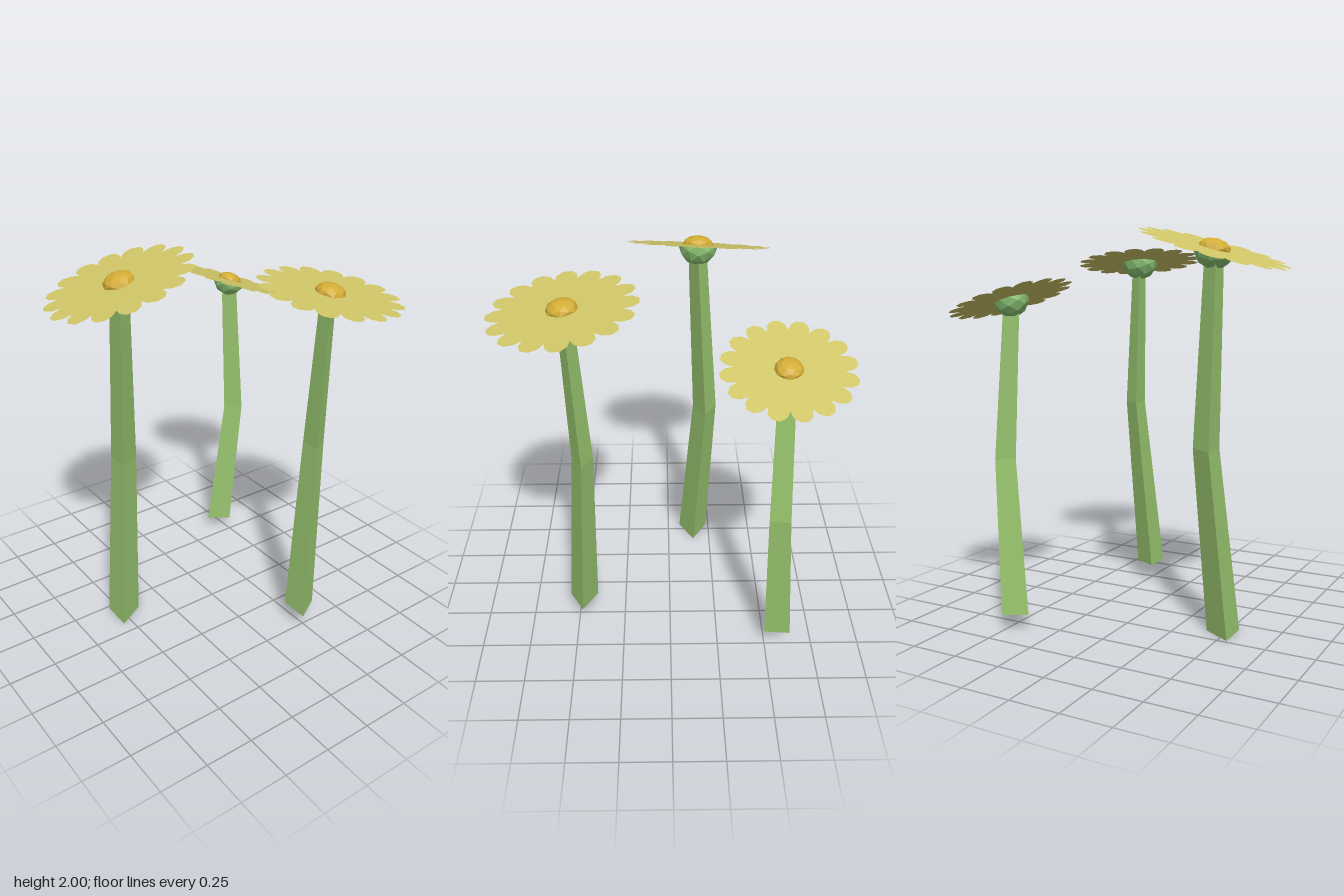
import * as THREE from 'three';

const paint = (color, extra = {}) => {
  const m = new THREE.MeshStandardMaterial({ flatShading: true, ...extra });
  m.color.set(color);
  return m;
};
const stemMat = paint(0x98c46e);
const calyxMat = paint(0x8cc474);
const petalMat = paint(0xd0c668, { side: THREE.DoubleSide });
const centreMat = paint(0xd2ac34);

const PETALS = 16;

function addMesh(parent, name, geometry, material) {
  const mesh = new THREE.Mesh(geometry, material);
  mesh.name = name;
  parent.add(mesh);
  return mesh;
}

// Three-sided stem bent through three rings, each [x, y, z, radius], bottom first
function stemGeometry(rings, turn) {
  const geo = new THREE.CylinderGeometry(1, 1, 2, 3, 2).rotateY(turn);
  const pos = geo.attributes.position;
  for (let i = 0; i < pos.count; i++) {
    const [x, y, z, r] = rings[Math.round(pos.getY(i)) + 1];
    pos.setXYZ(i, x + pos.getX(i) * r, y, z + pos.getZ(i) * r);
  }
  geo.computeVertexNormals();
  return geo;
}

// Flat disc with blunt petals separated by V notches
function petalGeometry(radius, phase) {
  const step = (Math.PI * 2) / PETALS;
  const outline = [[-0.5, 0.8], [-0.38, 0.92], [-0.15, 1], [0.15, 1], [0.38, 0.92]];
  const points = [];
  for (let i = 0; i < PETALS; i++) {
    for (const [t, r] of outline) {
      const a = phase + (i + t) * step;
      points.push(new THREE.Vector2(Math.cos(a), Math.sin(a)).multiplyScalar(r * radius));
    }
  }
  return new THREE.ShapeGeometry(new THREE.Shape(points)).rotateX(-Math.PI / 2);
}

// Faceted bowl: a ball with its upper half pressed flat
function calyxGeometry(radius) {
  const geo = new THREE.IcosahedronGeometry(radius, 1);
  const pos = geo.attributes.position;
  for (let i = 0; i < pos.count; i++) pos.setY(i, Math.min(pos.getY(i), -0.003));
  geo.computeVertexNormals();
  return geo;
}

function makeFlower({ name, rings, turn, head, slope, radius, phase, centre, calyx }) {
  const flower = new THREE.Group();
  flower.name = name;
  addMesh(flower, 'stem', stemGeometry(rings, turn), stemMat);

  // Head tilted so that its plane rises by slope[0] along x and slope[1] along z
  const top = new THREE.Group();
  top.name = 'flowerHead';
  top.position.set(...head);
  const normal = new THREE.Vector3(-slope[0], 1, -slope[1]).normalize();
  top.quaternion.setFromUnitVectors(new THREE.Vector3(0, 1, 0), normal);
  addMesh(top, 'petals', petalGeometry(radius, phase), petalMat);
  addMesh(top, 'calyx', calyxGeometry(calyx), calyxMat);
  addMesh(top, 'centre', new THREE.IcosahedronGeometry(centre, 1).scale(1, 0.6, 1), centreMat);
  flower.add(top);
  return flower;
}

export function createModel() {
  const group = new THREE.Group();
  group.name = 'flowers';
  group.add(
    makeFlower({
      name: 'frontFlower', turn: Math.PI,
      rings: [[-0.152, 0, 0.497, 0.095], [-0.205, 0.93, 0.418, 0.075], [-0.152, 1.83, 0.425, 0.055]],
      head: [-0.152, 1.888, 0.425], slope: [0.05, -0.31],
      radius: 0.372, phase: 0, centre: 0.08, calyx: 0.102,
    }),
    makeFlower({
      name: 'leftFlower', turn: Math.PI,
      rings: [[0.475, 0.1, -0.248, 0.087], [0.432, 1.06, -0.325, 0.061], [0.472, 1.81, -0.323, 0.044]],
      head: [0.478, 1.862, -0.323], slope: [-0.12, 0.12],
      radius: 0.347, phase: 0, centre: 0.074, calyx: 0.1,
    }),
    makeFlower({
      name: 'rightFlower', turn: -0.09,
      rings: [[-0.568, 0.08, -0.463, 0.078], [-0.527, 0.86, -0.535, 0.06], [-0.516, 1.61, -0.49, 0.046]],
      head: [-0.518, 1.648, -0.495], slope: [-0.01, 0.34],
      radius: 0.308, phase: 0.12, centre: 0.066, calyx: 0.088,
    }),
  );
  return group;
}
